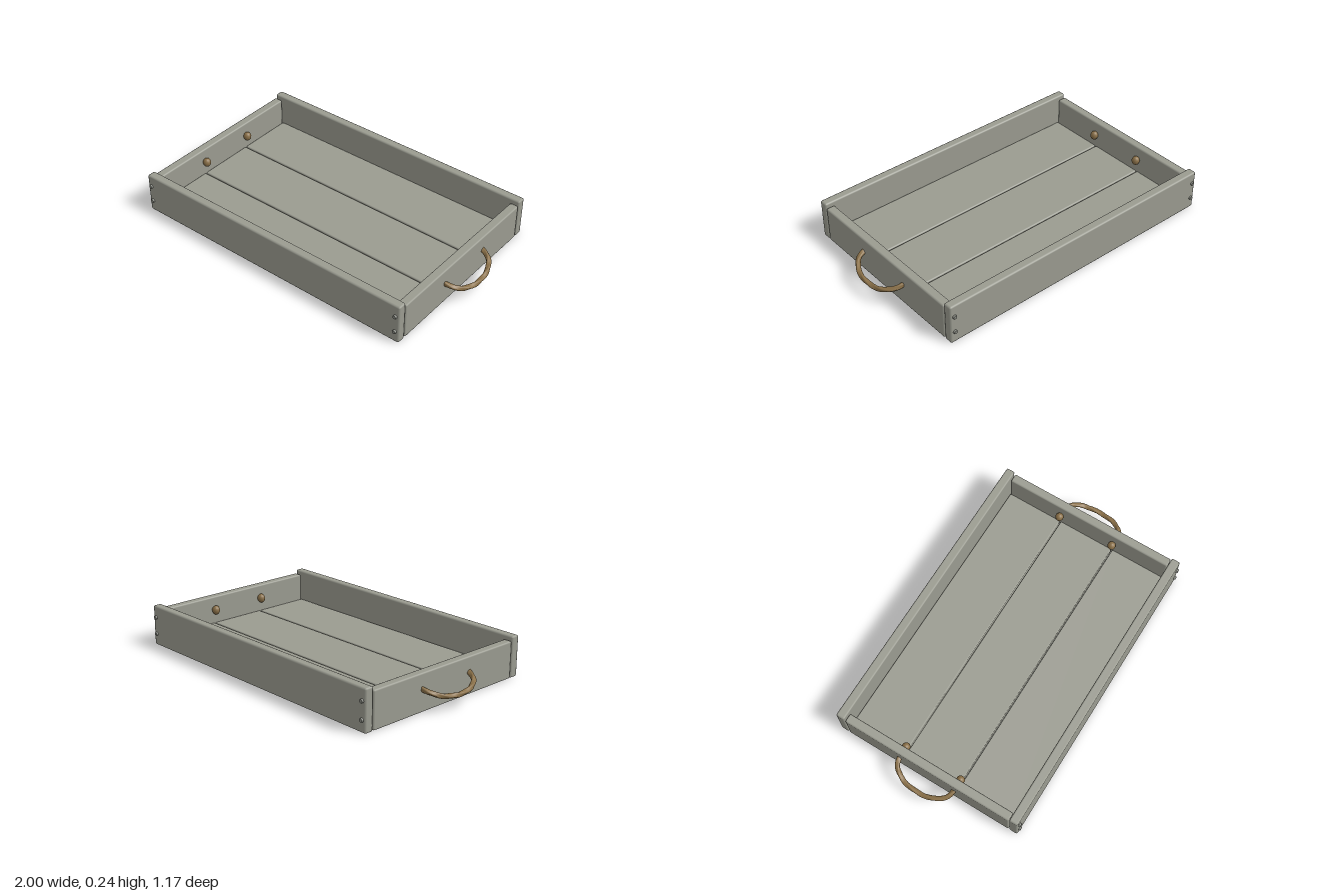
import * as THREE from 'three';
import { RoundedBoxGeometry } from 'three/addons/geometries/RoundedBoxGeometry.js';

const wood = new THREE.MeshStandardMaterial({ color: 0x9a9b90 });
wood.name = 'weathered wood';
const rope = new THREE.MeshStandardMaterial({ color: 0x8a7048 });
rope.name = 'rope';
const metal = new THREE.MeshStandardMaterial({ color: 0x85877f });
metal.name = 'bolt metal';

function add(group, name, geometry, material, x = 0, y = 0, z = 0) {
  const mesh = new THREE.Mesh(geometry, material);
  mesh.name = name;
  mesh.position.set(x, y, z);
  group.add(mesh);
  return mesh;
}

// Board with softened edges, given by its limits on each axis
function board(group, name, [x0, x1], [y0, y1], [z0, z1], bevel) {
  const geometry = new RoundedBoxGeometry(x1 - x0, y1 - y0, z1 - z0, 1, bevel);
  add(group, name, geometry, wood, (x0 + x1) / 2, (y0 + y1) / 2, (z0 + z1) / 2);
}

// Twisted rope: a tube whose lobed section turns along its length
function twistedRope(points, radius, turns) {
  const curve = new THREE.CatmullRomCurve3(points.map(p => new THREE.Vector3(...p)));
  const along = 80, around = 18;
  const geometry = new THREE.TubeGeometry(curve, along, radius, around, false);
  const pos = geometry.attributes.position;
  const v = new THREE.Vector3();
  for (let i = 0; i <= along; i++) {
    const centre = curve.getPointAt(i / along);
    for (let j = 0; j <= around; j++) {
      const k = i * (around + 1) + j;
      const angle = 3 * (j / around) * Math.PI * 2 + (i / along) * turns * Math.PI * 2;
      v.fromBufferAttribute(pos, k).sub(centre).multiplyScalar(1 + 0.13 * Math.cos(angle)).add(centre);
      pos.setXYZ(k, v.x, v.y, v.z);
    }
  }
  geometry.computeVertexNormals();
  return geometry;
}

export function createModel() {
  const tray = new THREE.Group();
  tray.name = 'tray';

  // Floor planks
  for (const [z0, z1] of [[-0.522, -0.179], [-0.172, 0.172], [0.179, 0.522]]) {
    board(tray, 'floorPlank', [-0.832, 0.832], [0.003, 0.055], [z0, z1], 0.007);
  }

  // Long front and back boards with their bolts
  for (const s of [1, -1]) {
    const zs = s > 0 ? [0.525, 0.577] : [-0.577, -0.525];
    board(tray, s > 0 ? 'frontBoard' : 'backBoard', [-0.885, 0.885], [0, 0.239], zs, 0.01);
    for (const x of [-0.86, 0.86]) {
      for (const y of [0.07, 0.17]) {
        const bolt = add(tray, 'bolt', new THREE.CylinderGeometry(0.01, 0.013, 0.016, 12), metal, x, y, s * 0.579);
        bolt.rotation.x = s * Math.PI / 2;
      }
    }
  }

  // End boards, each with a rope handle and inside knots
  for (const s of [1, -1]) {
    const side = s > 0 ? 'left' : 'right';
    const xs = s > 0 ? [0.833, 0.885] : [-0.885, -0.833];
    board(tray, side + 'EndBoard', xs, [0.001, 0.216], [-0.521, 0.521], 0.009);

    const half = [[0.83, 0.14, 0.178], [0.885, 0.128, 0.176], [0.93, 0.113, 0.158], [0.966, 0.097, 0.11], [0.982, 0.088, 0.055]];
    const path = [
      ...half.map(([x, y, z]) => [s * x, y, z]),
      [s * 0.986, 0.085, 0],
      ...half.map(([x, y, z]) => [s * x, y, -z]).reverse(),
    ];
    add(tray, side + 'Handle', twistedRope(path, 0.0135, 5), rope);

    for (const z of [-0.176, 0.176]) {
      const knot = add(tray, side + 'Knot', new THREE.SphereGeometry(0.025, 14, 10), rope, s * 0.815, 0.137, z);
      knot.scale.set(0.95, 1.1, 0.95);
    }
  }
  return tray;
}
